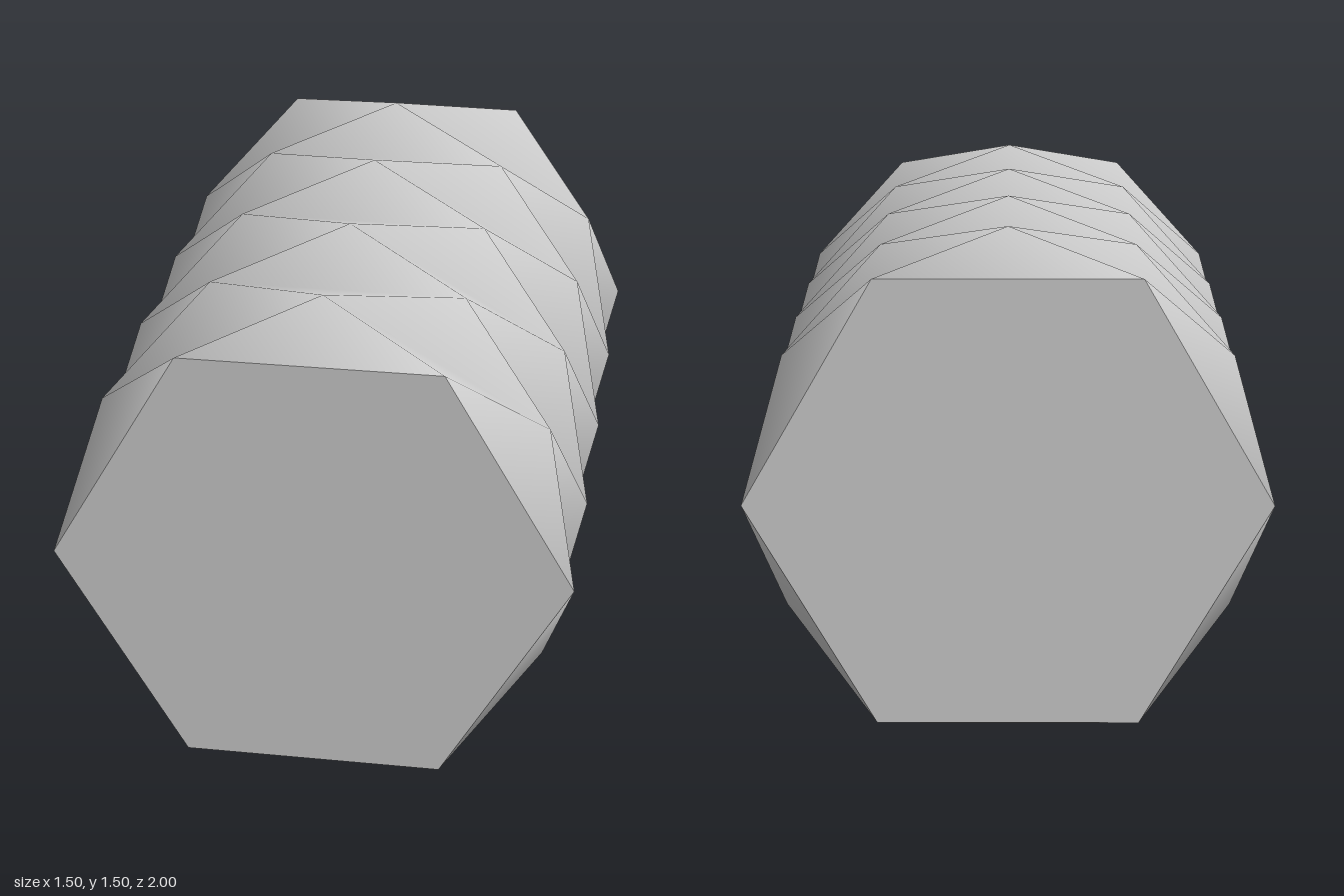
import * as THREE from 'three';

const RADIUS = 0.75, LENGTH = 2, SIDES = 6, LAYERS = 8;

export function createModel() {
  const group = new THREE.Group();
  group.name = 'twistedHexagonalPrism';
  const grey = new THREE.MeshStandardMaterial({ color: 0xcccccc });
  grey.name = 'light grey';

  // Hexagonal prism with each layer turned half a side further than the last
  const geometry = new THREE.CylinderGeometry(RADIUS, RADIUS, LENGTH, SIDES, LAYERS, false, Math.PI / 2);
  const axis = new THREE.Vector3(0, 1, 0);
  const v = new THREE.Vector3();
  const { position, normal } = geometry.attributes;
  for (let i = 0; i < position.count; i++) {
    const layer = Math.round((LENGTH / 2 - position.getY(i)) / (LENGTH / LAYERS));
    const angle = layer * Math.PI / SIDES;
    for (const attribute of [position, normal]) {
      v.fromBufferAttribute(attribute, i).applyAxisAngle(axis, angle);
      attribute.setXYZ(i, v.x, v.y, v.z);
    }
  }

  // Lay it along z, resting on the ground
  geometry.rotateX(Math.PI / 2).translate(0, RADIUS, 0);
  const body = new THREE.Mesh(geometry, grey);
  body.name = 'twistedBody';
  group.add(body);
  return group;
}
